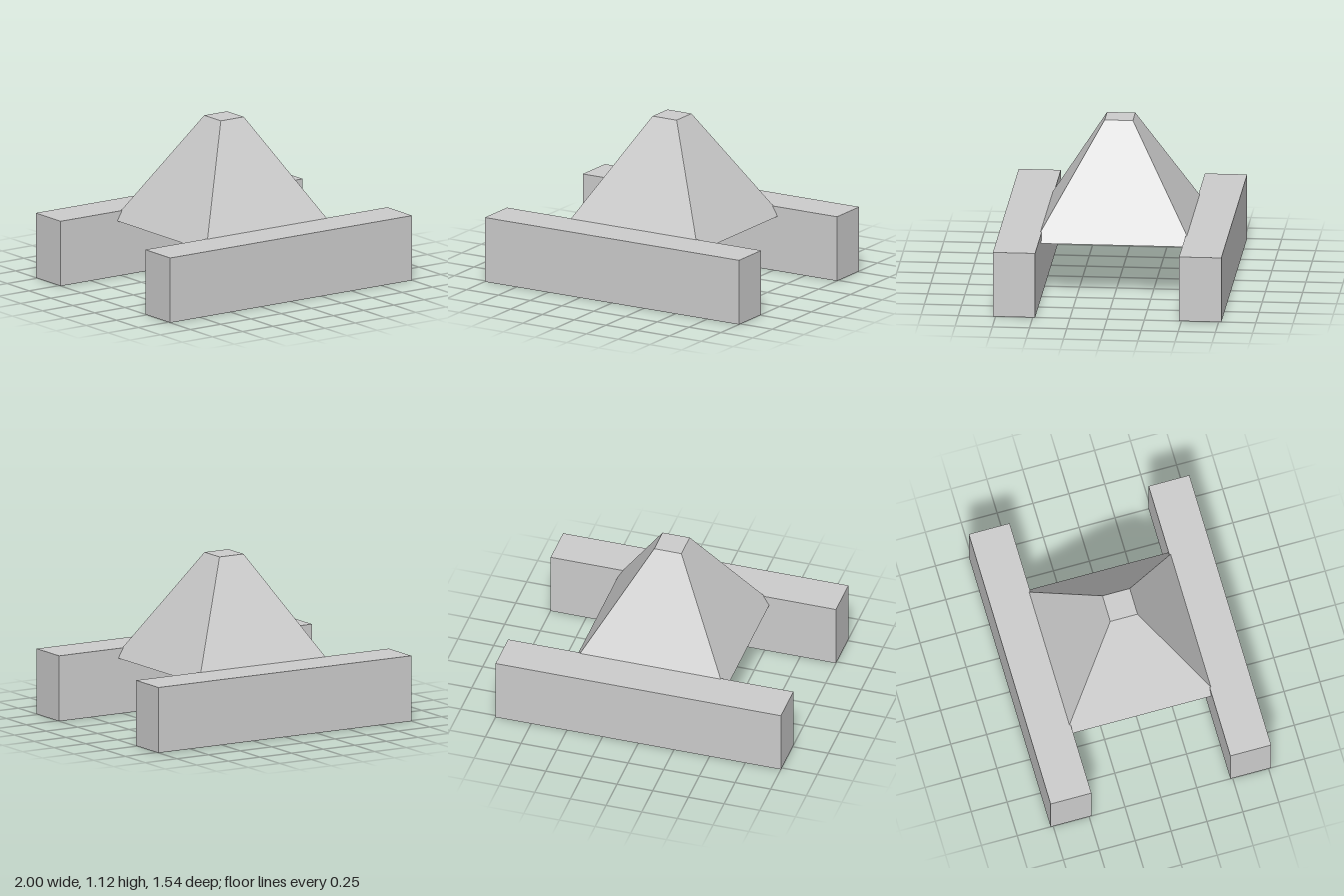
import * as THREE from 'three';

export function createModel() {
  const group = new THREE.Group();
  const material = new THREE.MeshStandardMaterial({ color: 0xcccccc, flatShading: true });

  // Truncated square pyramid, its base sunk slightly into the beams
  const baseY = 0.38, topY = 1.125, baseHalf = 0.532, topHalf = 0.095;
  const body = new THREE.CylinderGeometry(topHalf * Math.SQRT2, baseHalf * Math.SQRT2, topY - baseY, 4);
  body.rotateY(Math.PI / 4);
  const pyramid = new THREE.Mesh(body, material);
  pyramid.name = 'pyramidBody';
  pyramid.position.y = (baseY + topY) / 2;
  group.add(pyramid);

  // Two long beams carrying the body at front and back
  const beamHeight = 0.447, innerZ = 0.484, outerZ = 0.768;
  const beamGeometry = new THREE.BoxGeometry(2, beamHeight, outerZ - innerZ);
  for (const [name, side] of [['frontBeam', 1], ['backBeam', -1]]) {
    const beam = new THREE.Mesh(beamGeometry, material);
    beam.name = name;
    beam.position.set(0, beamHeight / 2, side * (innerZ + outerZ) / 2);
    group.add(beam);
  }

  return group;
}
